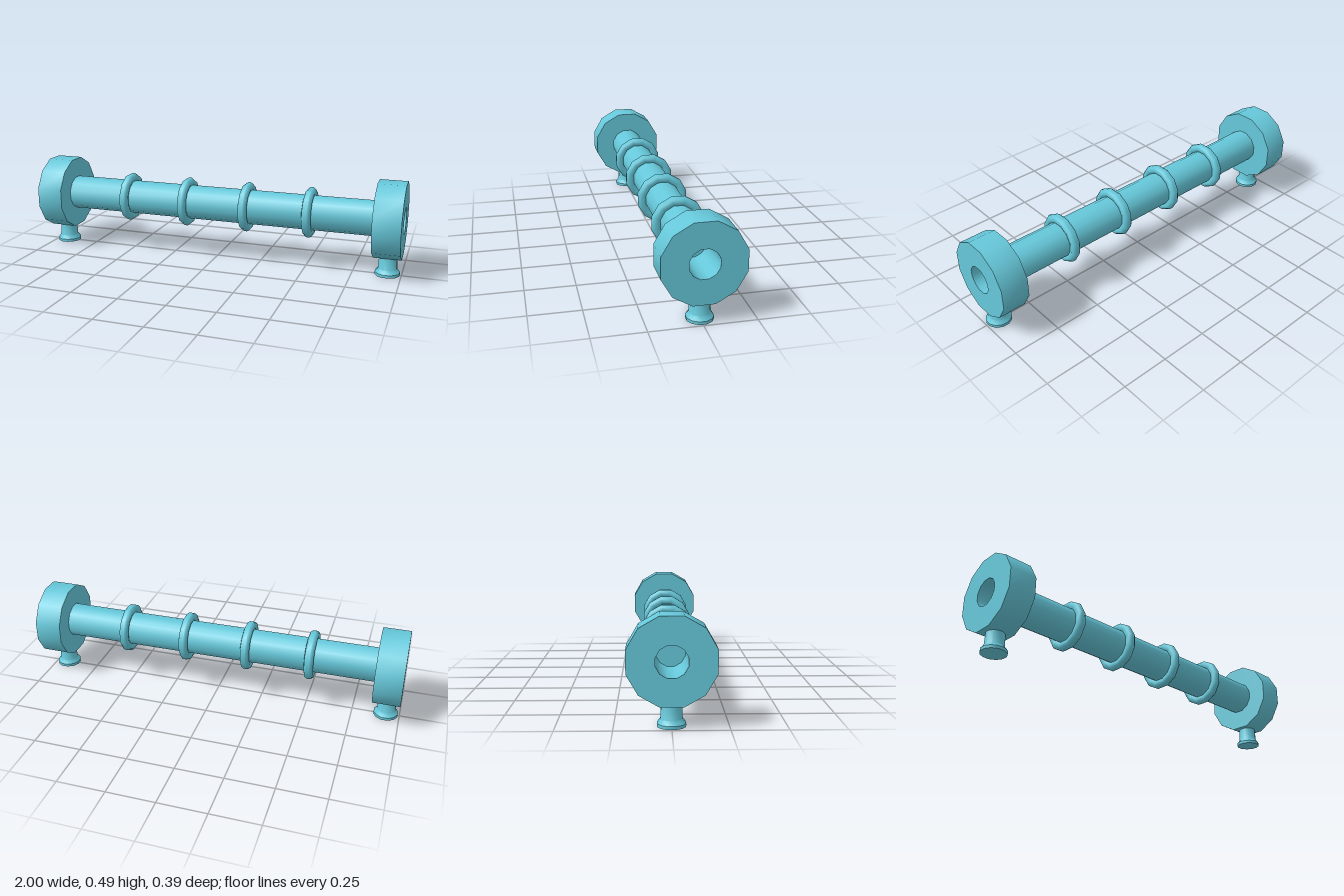
import * as THREE from 'three';
import { toCreasedNormals } from 'three/addons/utils/BufferGeometryUtils.js';

const SIDES = 12;
const AXIS_Y = 0.295;

// Twelve-sided turned part with flats on the axes; points are [radius, height]
function turned(points, crease = 0.65) {
  const profile = points.map(([r, h]) => new THREE.Vector2(r, h));
  const geo = new THREE.LatheGeometry(profile, SIDES, Math.PI / SIDES);
  return toCreasedNormals(geo, crease);
}

export function createModel() {
  const group = new THREE.Group();
  const material = new THREE.MeshStandardMaterial({ color: 0x66c8da });

  const add = (name, geometry, x, y) => {
    const mesh = new THREE.Mesh(geometry, material);
    mesh.name = name;
    mesh.position.set(x, y, 0);
    group.add(mesh);
    return mesh;
  };

  // Long tube between the end blocks
  const tube = turned([[0.092, -0.86], [0.092, 0.86]]);
  add('tube', tube, 0, AXIS_Y).rotation.z = -Math.PI / 2;

  // Rounded rings around the tube
  const section = [];
  for (let i = 0; i <= 10; i++) {
    const a = -Math.PI / 2 + (i / 10) * Math.PI * 2;
    section.push([0.109 + 0.025 * Math.cos(a), 0.025 * Math.sin(a)]);
  }
  const ring = turned(section, 0.9);
  for (let i = 0; i < 4; i++) {
    add('ring' + (i + 1), ring, (i - 1.5) * 0.342, AXIS_Y).rotation.z = -Math.PI / 2;
  }

  // End block with a slightly tapered bore running into the tube
  const endBlock = turned([
    [0.085, 0.857], [0.201, 0.857], [0.201, 1],
    [0.0725, 1], [0.068, 0.78], [0, 0.78],
  ]);
  // Flared foot
  const foot = turned([
    [0, 0], [0.065, 0], [0.065, 0.015], [0.05, 0.034], [0.046, 0.11],
  ]);
  for (const [side, s] of [['left', 1], ['right', -1]]) {
    add(side + 'EndBlock', endBlock, 0, AXIS_Y).rotation.z = -s * Math.PI / 2;
    add(side + 'Foot', foot, s * 0.928, 0);
  }
  return group;
}
